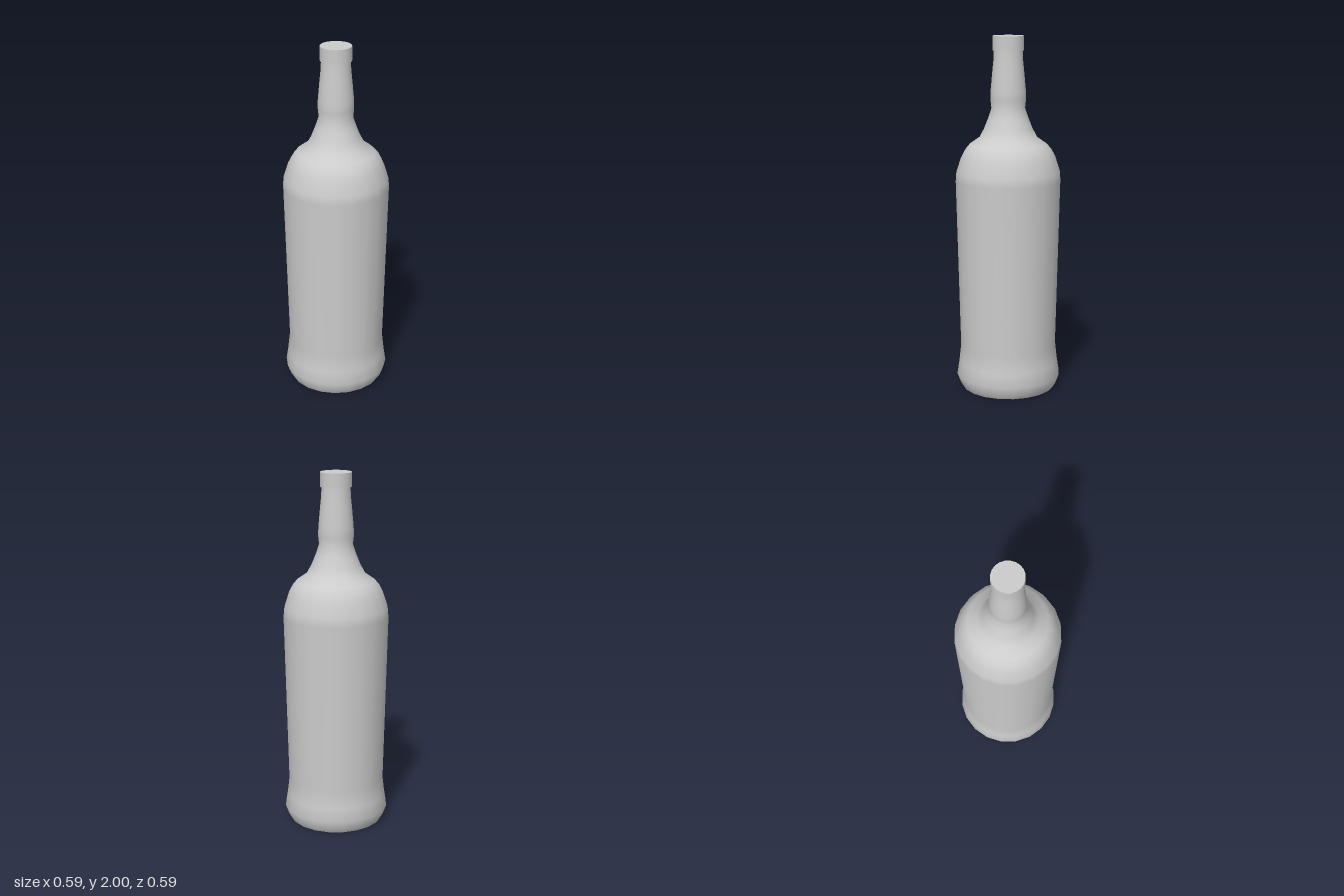
import * as THREE from 'three';

const SIDES = 20;

export function createModel() {
  const bottle = new THREE.Group();
  bottle.name = 'bottle';
  const material = new THREE.MeshStandardMaterial({ color: 0xcccccc });

  // Each profile lists [radius, height] pairs from bottom to top
  const addLathe = (name, profile) => {
    const points = profile.map(([r, y]) => new THREE.Vector2(r, y));
    const mesh = new THREE.Mesh(new THREE.LatheGeometry(points, SIDES), material);
    mesh.name = name;
    bottle.add(mesh);
  };

  // Flat underside
  addLathe('base', [[0, 0], [0.262, 0]]);

  // Flared foot, tapering body, round shoulder and bulged neck
  addLathe('body', [
    [0.262, 0], [0.275, 0.02], [0.295, 0.075], [0.283, 0.15], [0.272, 0.25],
    [0.295, 1.2], [0.291, 1.25], [0.265, 1.33], [0.244, 1.37], [0.217, 1.402],
    [0.163, 1.44], [0.136, 1.49], [0.112, 1.55], [0.094, 1.605],
    [0.099, 1.65], [0.098, 1.7], [0.089, 1.8], [0.082, 1.87], [0.08, 1.92],
  ]);

  // Stopper with a small overhanging lip
  addLathe('capUnderside', [[0.08, 1.92], [0.087, 1.92]]);
  addLathe('capSide', [[0.087, 1.92], [0.087, 2]]);
  addLathe('capTop', [[0.087, 2], [0, 2]]);

  return bottle;
}
